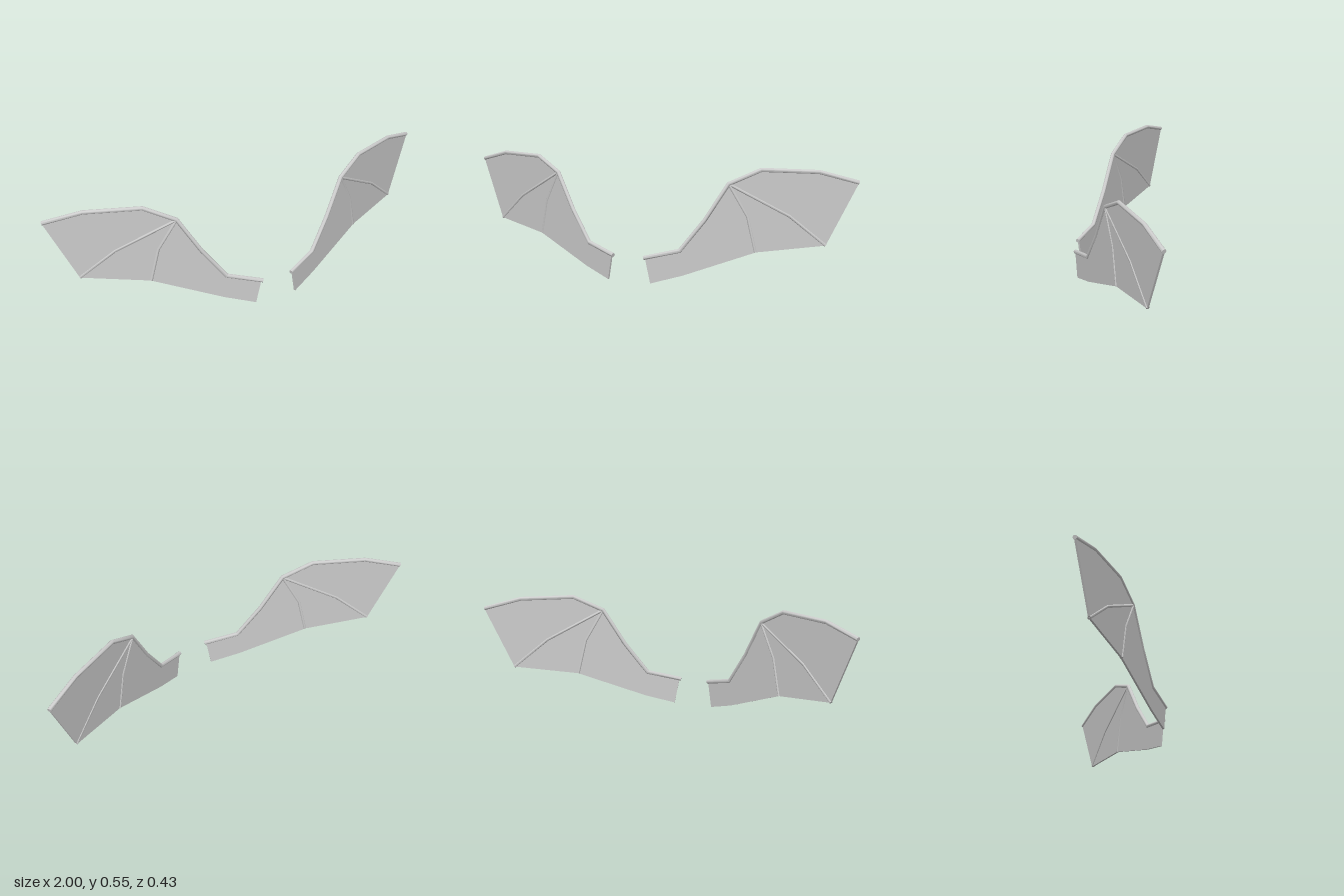
import * as THREE from 'three';
import { toCreasedNormals } from 'three/addons/utils/BufferGeometryUtils.js';

const SWEEP = Math.atan(0.45); // each wing is swept back by this angle
const material = new THREE.MeshStandardMaterial({ color: 0xcccccc });

// Outlines as [x, y], for the left wing, seen from the front
const ARM = [[0.076, 0.124], [0.232, 0.157], [0.338, 0.302], [0.438, 0.473],
  [0.576, 0.538], [0.823, 0.526], [0.995, 0.475]];
const HEM = [[0.86, 0.175], [0.56, 0.146], [0.245, 0.037], [0.106, 0.001]];
const FINGERS = {
  innerFinger: [[0.438, 0.473], [0.52, 0.318], [0.557, 0.146]],
  outerFinger: [[0.438, 0.473], [0.70, 0.318], [0.86, 0.176]],
};

// Round bar along a planar polyline, mitred at the bends and capped at the ends
function barGeometry(points, radius, sides = 12) {
  const position = [], index = [];
  const last = points.length - 1;
  const dir = i => points[i + 1].clone().sub(points[i]).normalize();
  points.forEach((p, i) => {
    const a = dir(Math.max(i - 1, 0)), b = dir(Math.min(i, last - 1));
    const t = a.clone().add(b).normalize();
    const across = radius / t.dot(a);
    for (let k = 0; k < sides; k++) {
      const w = k / sides * Math.PI * 2, m = Math.cos(w) * across;
      position.push(p.x - t.y * m, p.y + t.x * m, Math.sin(w) * radius);
    }
  });
  for (let i = 0; i < last; i++) {
    for (let k = 0; k < sides; k++) {
      const a = i * sides + k, b = i * sides + (k + 1) % sides;
      index.push(a, b, b + sides, a, b + sides, a + sides);
    }
  }
  for (let k = 1; k < sides - 1; k++) {
    const e = last * sides;
    index.push(0, k + 1, k, e, e + k, e + k + 1);
  }
  const geometry = new THREE.BufferGeometry();
  geometry.setAttribute('position', new THREE.Float32BufferAttribute(position, 3));
  geometry.setIndex(index);
  return toCreasedNormals(geometry, 0.6);
}

function createWing(side, name) {
  const wing = new THREE.Group();
  wing.name = name;
  const toPlane = list => list.map(([x, y]) => new THREE.Vector2(side * x / Math.cos(SWEEP), y));
  const add = (geometry, part) => {
    const mesh = new THREE.Mesh(geometry, material);
    mesh.name = part;
    wing.add(mesh);
  };

  // Thin skin stretched under the arm
  const skin = [[0.084, 0.122], ...ARM.slice(1), ...HEM];
  const thickness = 0.009;
  const membrane = new THREE.ExtrudeGeometry(new THREE.Shape(toPlane(skin)),
    { depth: thickness, bevelEnabled: false });
  membrane.translate(0, 0, -thickness / 2);
  add(membrane, 'membrane');

  // Leading arm and the fingers fanning from its elbow
  add(barGeometry(toPlane(ARM), 0.01), 'armBone');
  for (const [part, path] of Object.entries(FINGERS)) add(barGeometry(toPlane(path), 0.008), part);

  wing.rotation.y = side * SWEEP;
  wing.position.z = 0.239;
  return wing;
}

export function createModel() {
  const model = new THREE.Group();
  model.name = 'wings';
  model.add(createWing(1, 'leftWing'), createWing(-1, 'rightWing'));
  return model;
}
